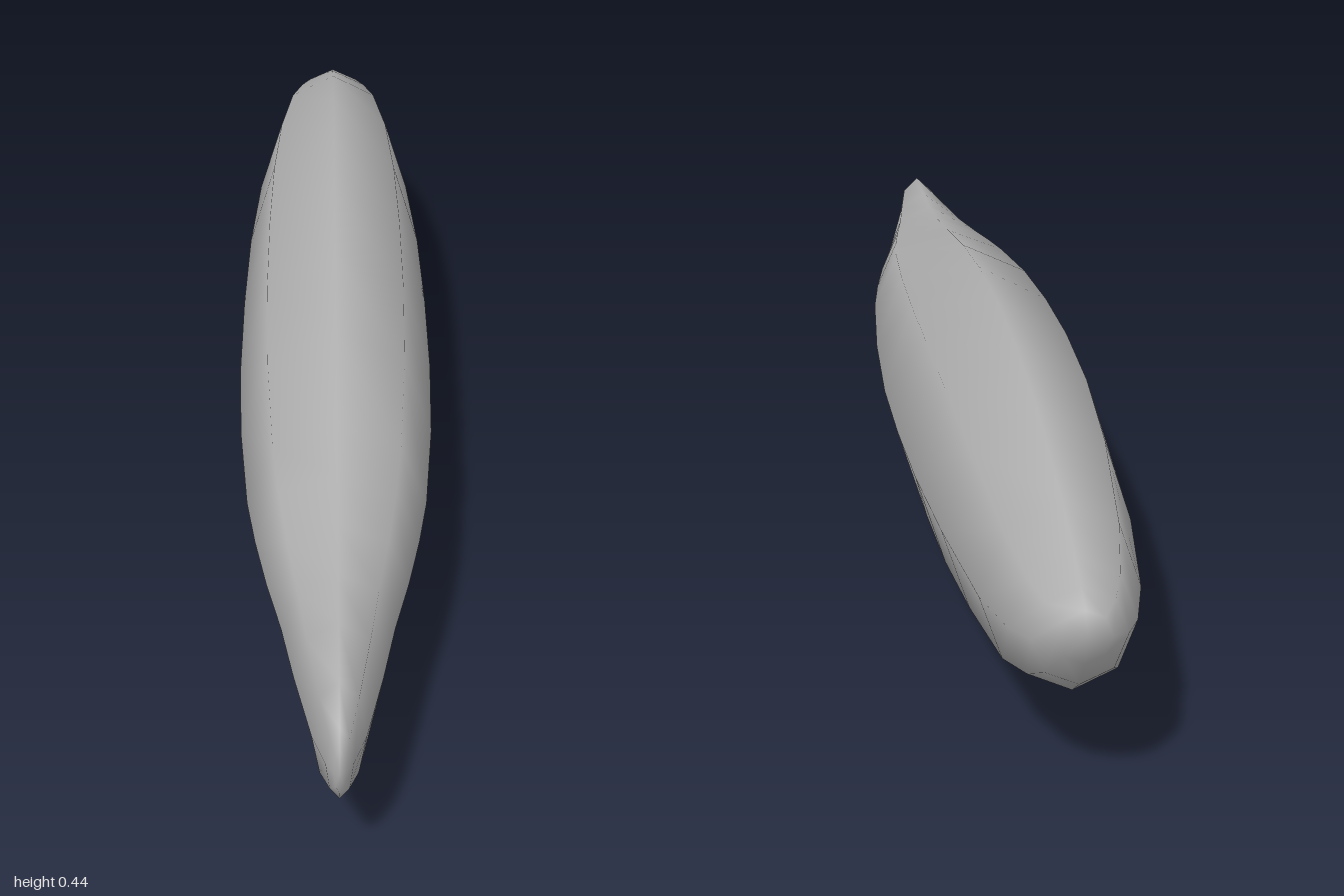
import * as THREE from 'three';

// Cross-sections from the slim end to the blunt end: z, top y, bottom y, half width
const SECTIONS = [
  [0.995, 0.212, 0.145, 0.008],
  [0.98, 0.236, 0.124, 0.018],
  [0.92, 0.262, 0.093, 0.036],
  [0.8, 0.269, 0.093, 0.06],
  [0.7, 0.277, 0.1, 0.078],
  [0.6, 0.291, 0.097, 0.1],
  [0.5, 0.312, 0.084, 0.118],
  [0.4, 0.334, 0.066, 0.132],
  [0.2, 0.378, 0.03, 0.147],
  [0, 0.412, 0.003, 0.153],
  [-0.2, 0.433, 0.014, 0.152],
  [-0.4, 0.438, 0.042, 0.146],
  [-0.6, 0.425, 0.08, 0.132],
  [-0.8, 0.388, 0.122, 0.107],
  [-0.9, 0.358, 0.166, 0.083],
  [-0.95, 0.341, 0.203, 0.062],
  [-0.985, 0.326, 0.252, 0.035],
];
const SIDES = 8;

// Smooth closed loft of eight-sided rings, with one shared point at each tip
function loftBody() {
  const positions = [];
  const index = [];
  for (const [z, top, bottom, halfWidth] of SECTIONS) {
    const mid = (top + bottom) / 2;
    const halfHeight = (top - bottom) / 2;
    for (let k = 0; k < SIDES; k++) {
      const a = (k / SIDES) * Math.PI * 2;
      positions.push(halfWidth * Math.sin(a), mid + halfHeight * Math.cos(a), z);
    }
  }
  const last = SECTIONS.length - 1;
  const frontTip = SECTIONS.length * SIDES;
  const backTip = frontTip + 1;
  positions.push(0, 0.18, 1, 0, 0.3, -1);

  for (let k = 0; k < SIDES; k++) {
    const n = (k + 1) % SIDES;
    index.push(frontTip, n, k);
    for (let i = 0; i < last; i++) {
      const r = i * SIDES;
      const s = r + SIDES;
      index.push(r + k, r + n, s + k, r + n, s + n, s + k);
    }
    index.push(backTip, last * SIDES + k, last * SIDES + n);
  }

  const geometry = new THREE.BufferGeometry();
  geometry.setAttribute('position', new THREE.Float32BufferAttribute(positions, 3));
  geometry.setIndex(index);
  geometry.computeVertexNormals();
  return geometry;
}

export function createModel() {
  const grey = new THREE.MeshStandardMaterial({ color: 0xb0b0b0 });
  grey.name = 'grey';

  const body = new THREE.Mesh(loftBody(), grey);
  body.name = 'body';

  const group = new THREE.Group();
  group.name = 'taperedBody';
  group.add(body);
  return group;
}
